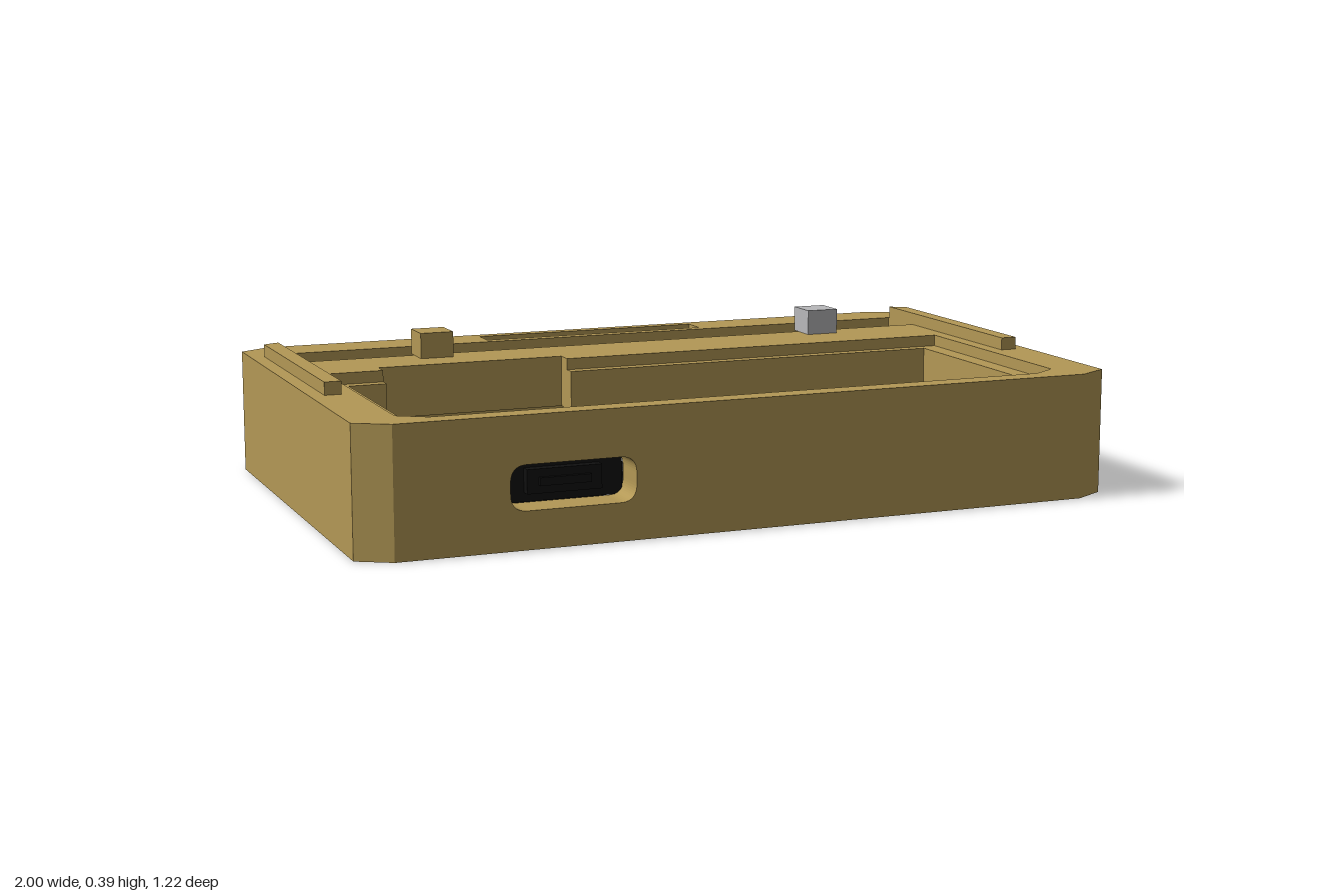
import * as THREE from 'three';

const mat = (name, color) => {
  const m = new THREE.MeshStandardMaterial({ color });
  m.name = name;
  return m;
};

export function createModel() {
  const root = new THREE.Group();
  root.name = 'deviceCase';
  const tan = mat('tan plastic', 0xb39855);
  const black = mat('black board', 0x101010);
  const silver = mat('light grey', 0xb8b8ba);

  const add = (name, geometry, material, parent = root) => {
    const m = new THREE.Mesh(geometry, material);
    m.name = name;
    parent.add(m);
    return m;
  };
  // Box given by its limits on each axis
  const box = (name, x0, x1, y0, y1, z0, z1, material, parent) =>
    add(name, new THREE.BoxGeometry(x1 - x0, y1 - y0, z1 - z0), material, parent)
      .position.set((x0 + x1) / 2, (y0 + y1) / 2, (z0 + z1) / 2);

  // Plan points are [x, z]; slabs are extruded upwards
  const toPts = (list) => list.map(([x, z]) => new THREE.Vector2(x, -z));
  const slab = (name, y0, y1, outline, holes = []) => {
    const s = new THREE.Shape(toPts(outline));
    holes.forEach((h) => s.holes.push(new THREE.Path(toPts(h))));
    const g = new THREE.ExtrudeGeometry(s, { depth: y1 - y0, bevelEnabled: false });
    g.rotateX(-Math.PI / 2).translate(0, y0, 0);
    add(name, g, tan);
  };
  const rect = (x0, x1, z0, z1) => [[x0, z0], [x1, z0], [x1, z1], [x0, z1]];

  // Opening with chamfered front corners and an optional board notch at the back
  const notch = [[-0.73, -0.165], [-0.225, -0.165]];
  const opening = (w, back, front, cx, cz, notched) => [
    [-w + cx, front], [-w, front - cz], [-w, back],
    ...(notched ? [[-0.73, back], ...notch, [-0.225, back]] : []),
    [w, back], [w, front - cz], [w - cx, front],
  ];
  const gap = [-0.66, -0.29];
  const outer = [
    [0.915, 0.612], [1, 0.563], [1, -0.563], [0.915, -0.612],
    [-0.915, -0.612], [-1, -0.563], [-1, 0.563], [-0.915, 0.612],
  ];
  // Ring with a gap in the front wall, filled by the port panel
  const gapped = (inner) => [
    [gap[1], 0.612], ...outer, [gap[0], 0.612], [gap[0], 0.52], ...inner, [gap[1], 0.52],
  ];

  const low = opening(0.83, -0.52, 0.52, 0.04, 0.035, false);
  const mid = opening(0.83, -0.09, 0.52, 0.04, 0.035, true);
  const high = opening(0.88, -0.12, 0.555, 0.07, 0.045, true);

  // Case body in levels: walls, cross bar, trough and screen recess
  slab('lowerWalls', 0, 0.19, gapped(low));
  slab('crossBarBase', 0.19, 0.22, gapped(mid));
  slab('crossBar', 0.22, 0.295, outer, [mid, rect(-0.83, 0.83, -0.48, -0.33)]);
  slab('topRim', 0.295, 0.325, outer, [
    high, rect(-0.92, 0.92, -0.48, -0.33), rect(-0.32, 0.32, -0.58, -0.51),
  ]);

  // Front panel with rounded port hole
  const panel = new THREE.Shape(toPts([[gap[0], 0], [gap[1], 0], [gap[1], -0.22], [gap[0], -0.22]]));
  const port = new THREE.Path();
  const [l, r, b, t, c] = [-0.632, -0.315, 0.095, 0.206, 0.042];
  port.moveTo(l + c, b);
  port.lineTo(r - c, b);
  port.quadraticCurveTo(r, b, r, b + c);
  port.lineTo(r, t - c);
  port.quadraticCurveTo(r, t, r - c, t);
  port.lineTo(l + c, t);
  port.quadraticCurveTo(l, t, l, t - c);
  port.lineTo(l, b + c);
  port.quadraticCurveTo(l, b, l + c, b);
  panel.holes.push(port);
  const panelGeo = new THREE.ExtrudeGeometry(panel, { depth: 0.092, bevelEnabled: false });
  add('portPanel', panelGeo.translate(0, 0, 0.52), tan);

  // Side rails on the rim, with chamfered rear corners
  for (const s of [-1, 1]) {
    slab('sideRail', 0.325, 0.358, [
      [s * 0.92, 0.185], [s * 0.963, 0.185], [s * 0.963, -0.455], [s * 0.92, -0.475],
    ]);
  }

  // Posts on the cross bar
  box('tanPost', -0.585, -0.495, 0.325, 0.393, -0.355, -0.265, tan);
  box('greyPost', 0.553, 0.643, 0.325, 0.393, -0.355, -0.265, silver);

  // Circuit board with connector and chips
  const board = new THREE.Group();
  board.name = 'circuitBoard';
  root.add(board);
  box('boardPlate', -0.705, -0.245, 0.1, 0.125, -0.12, 0.515, black, board);
  box('radioModule', -0.61, -0.34, 0.125, 0.165, -0.12, 0.22, black, board);
  box('undersideChips', -0.6, -0.35, 0.07, 0.1, -0.05, 0.48, black, board);
  box('portBlock', -0.628, -0.32, 0.097, 0.203, 0.41, 0.525, black, board);
  box('portShell', -0.57, -0.38, 0.12, 0.18, 0.525, 0.55, black, board);
  box('portTongue', -0.54, -0.41, 0.14, 0.16, 0.55, 0.56, black, board);

  // Pin headers along both board edges
  const pinGeo = new THREE.CylinderGeometry(0.011, 0.011, 0.16, 8);
  for (const x of [-0.683, -0.267]) {
    box('headerStrip', x - 0.025, x + 0.025, 0.045, 0.1, -0.115, 0.51, silver, board);
    for (let i = 0; i < 10; i++) {
      const z = -0.085 + i * 0.0635;
      add('pin', pinGeo, silver, board).position.set(x, 0.085, z);
      box('edgeTooth', x - 0.03, x + 0.03, 0.1, 0.13, z - 0.022, z + 0.022, black, board);
    }
  }
  return root;
}
